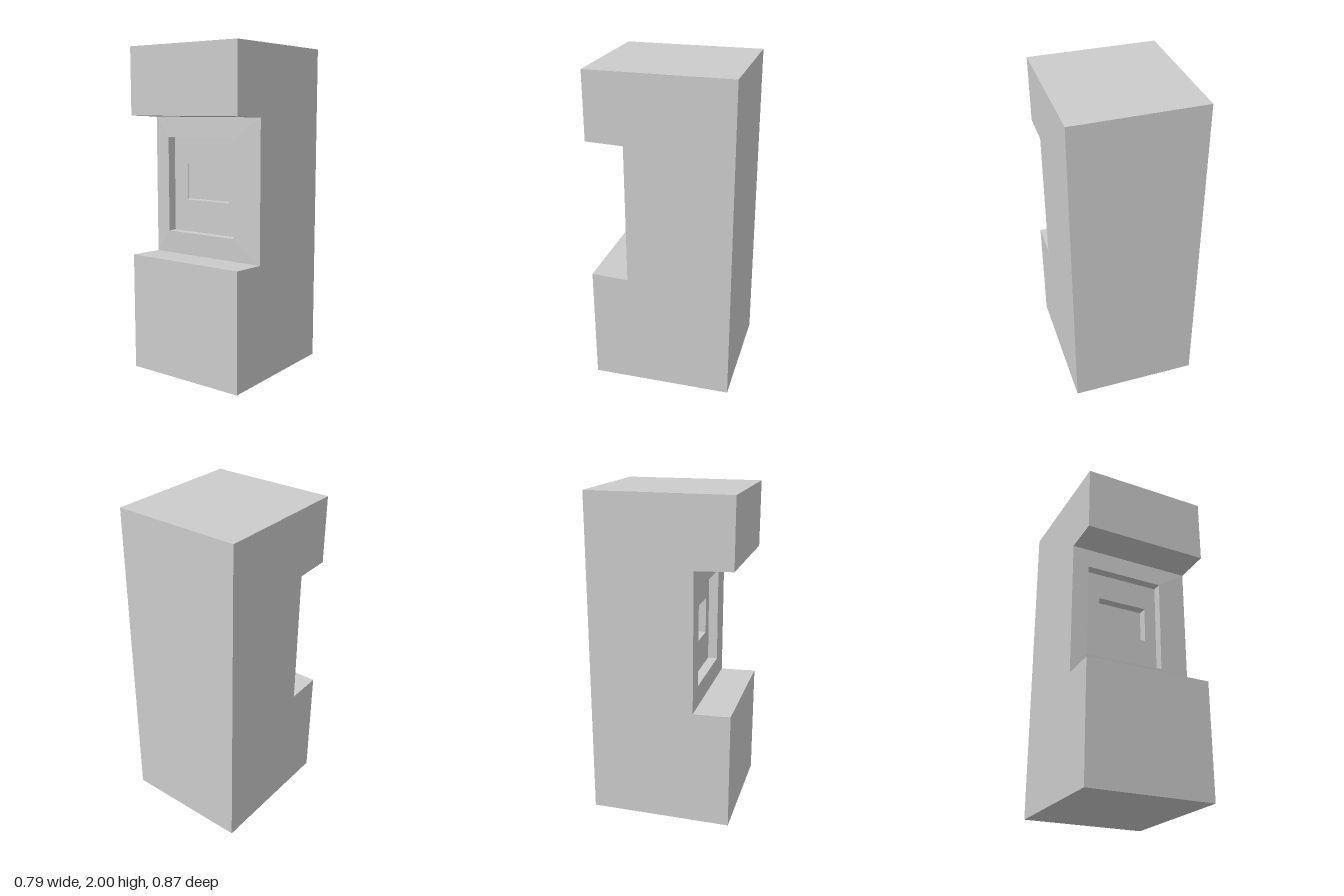
import * as THREE from 'three';

const W = 0.397;
const material = new THREE.MeshStandardMaterial({ color: 0xcccccc, flatShading: true });

// Flat-shaded surface from quads, corners counter-clockwise from outside
function quadMesh(name, quads) {
  const pos = quads.flatMap(([a, b, c, d]) => [a, b, c, a, c, d].flat());
  const geo = new THREE.BufferGeometry();
  geo.setAttribute('position', new THREE.Float32BufferAttribute(pos, 3));
  geo.computeVertexNormals();
  const mesh = new THREE.Mesh(geo, material);
  mesh.name = name;
  return mesh;
}

// Rectangle facing the front
const rect = (x0, x1, y0, y1, z) => [[x0, y0, z], [x1, y0, z], [x1, y1, z], [x0, y1, z]];

// Band of four quads joining one rectangle to the next
const band = (a, b) => a.map((p, i) => [p, a[(i + 1) % 4], b[(i + 1) % 4], b[i]]);

export function createModel() {
  const group = new THREE.Group();
  group.name = 'kiosk';

  // Side outline as [z, y], up the front with its notch, then down the back
  const outline = [
    [0.435, 0], [0.435, 0.727], [0.207, 0.718], [0.207, 1.58],
    [0.435, 1.588], [0.435, 2], [-0.435, 2], [-0.435, 0],
  ];

  // Cabinet shell across the width; the notch wall (segment 2) is the niche
  const shell = [];
  outline.forEach(([z, y], i) => {
    if (i === 2) return;
    const [z2, y2] = outline[(i + 1) % outline.length];
    shell.push([[-W, y, z], [W, y, z], [W, y2, z2], [-W, y2, z2]]);
  });
  group.add(quadMesh('cabinetShell', shell));

  // Side panels
  for (const s of [1, -1]) {
    const shape = new THREE.Shape(outline.map(([z, y]) => new THREE.Vector2(-s * z, y)));
    const geo = new THREE.ShapeGeometry(shape).rotateY(s * Math.PI / 2).translate(s * W, 0, 0);
    const side = new THREE.Mesh(geo, material);
    side.name = s > 0 ? 'leftSide' : 'rightSide';
    group.add(side);
  }

  // Frame, recessed panel and inner slot, nested from the outside in
  const edge = rect(-W, W, 0.718, 1.58, 0.207);
  const rim = rect(-0.295, 0.21, 0.858, 1.455, 0.212);
  const panel = rect(-0.295, 0.21, 0.858, 1.455, 0.152);
  const slot = rect(-0.19, 0.132, 1.06, 1.287, 0.152);
  const slotBack = rect(-0.235, 0.132, 1.06, 1.287, 0.092);
  group.add(quadMesh('frame', band(edge, rim)));
  group.add(quadMesh('recessWalls', band(rim, panel)));
  group.add(quadMesh('recessPanel', band(panel, slot)));
  group.add(quadMesh('slot', [...band(slot, slotBack), slotBack]));

  return group;
}
